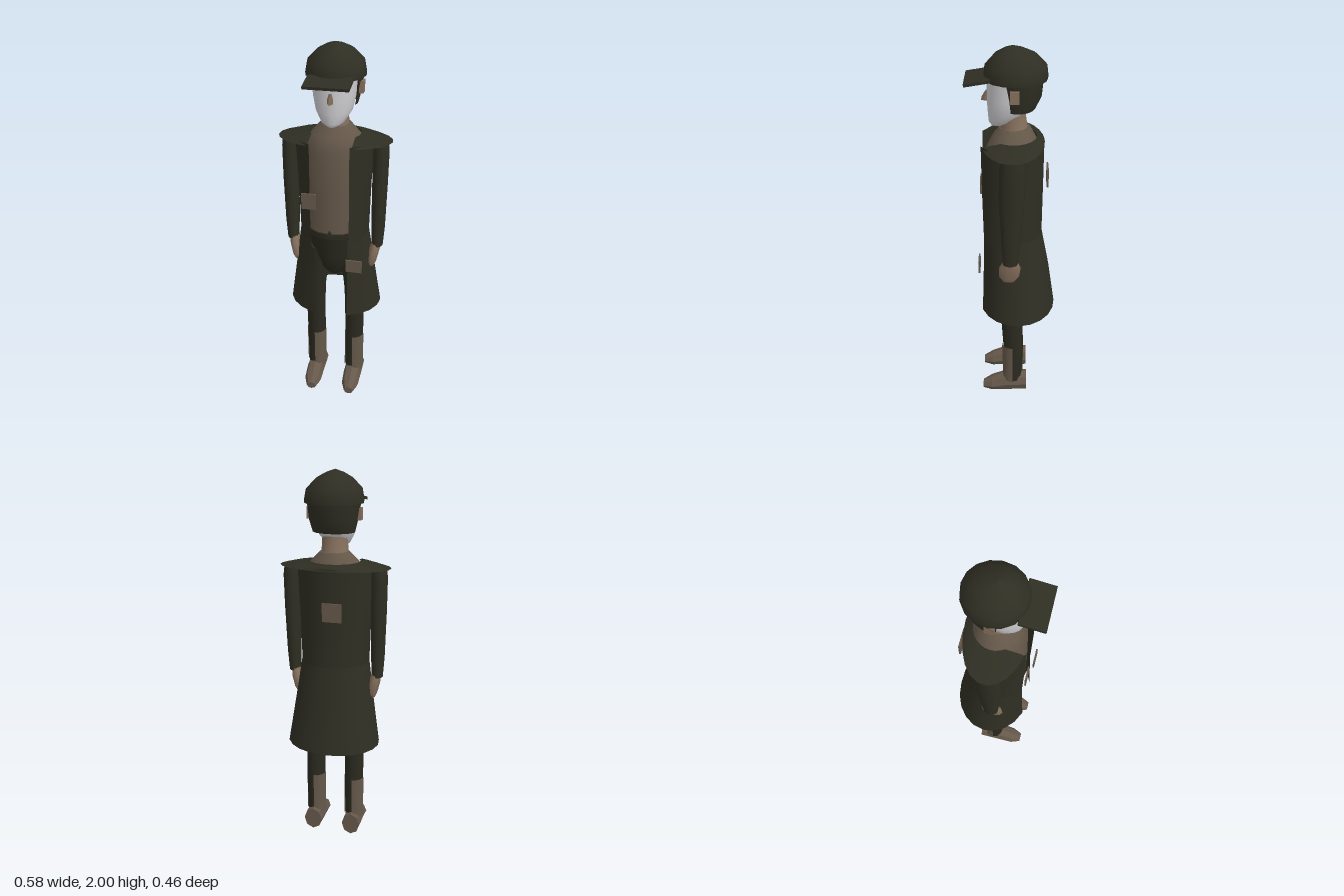
import * as THREE from 'three';

const mat = (name, color, opt = {}) => Object.assign(new THREE.MeshStandardMaterial({ color, ...opt }), { name });

// Skin through elliptical rings [y, cx, cz, rx, rz], listed upwards.
// gap leaves a front opening of that half width; arc = [from, to] limits the sweep (0 = front, PI/2 = +x).
function loft(rings, { n = 14, gap = 0, arc = null, caps = true } = {}) {
  const open = gap > 0 || arc !== null;
  const cols = open ? n + 1 : n;
  const pos = [], idx = [];
  const put = ([y, cx, cz, rx, rz], t) => pos.push(cx + rx * Math.sin(t), y, cz + rz * Math.cos(t));
  const angle = (r, j) => {
    const a = arc ? arc[0] : gap ? Math.asin(Math.min(1, gap / r[3])) : 0;
    const b = arc ? arc[1] : Math.PI * 2 - a;
    return a + (b - a) * j / n;
  };
  for (const r of rings) for (let j = 0; j < cols; j++) put(r, angle(r, j));
  for (let i = 0; i < rings.length - 1; i++) {
    for (let j = 0; j < n; j++) {
      const k = open ? j + 1 : (j + 1) % n;
      const a = i * cols + j, b = i * cols + k, c = b + cols, d = a + cols;
      idx.push(a, b, c, a, c, d);
    }
  }
  if (caps && !open) {
    for (const [r, top] of [[rings[0], false], [rings[rings.length - 1], true]]) {
      const o = pos.length / 3;
      pos.push(r[1], r[0], r[2]);
      for (let j = 0; j < n; j++) put(r, angle(r, j));
      for (let j = 0; j < n; j++) {
        const a = o + 1 + j, b = o + 1 + (j + 1) % n;
        if (top) idx.push(o, a, b); else idx.push(o, b, a);
      }
    }
  }
  const g = new THREE.BufferGeometry();
  g.setAttribute('position', new THREE.Float32BufferAttribute(pos, 3));
  g.setIndex(idx);
  g.computeVertexNormals();
  return g;
}

export function createModel() {
  const group = new THREE.Group();
  const coat = mat('dark olive cloth', 0x2e2e23, { side: THREE.DoubleSide });
  const trousers = mat('dark trousers', 0x2a2a20);
  const tan = mat('brown leather', 0x65584a, { side: THREE.DoubleSide });
  const skin = mat('skin', 0x86705d);
  const mask = mat('pale face', 0xcfcfd2);

  const add = (name, geometry, material) => {
    const m = new THREE.Mesh(geometry, material);
    m.name = name;
    group.add(m);
    return m;
  };
  const box = (name, material, w, h, d, x, y, z) => {
    const m = add(name, new THREE.BoxGeometry(w, h, d), material);
    m.position.set(x, y, z);
    return m;
  };

  // Head
  add('face', loft([
    [1.61, 0, 0.075, 0.025, 0.03], [1.63, 0, 0.06, 0.058, 0.058], [1.68, 0, 0.03, 0.09, 0.092],
    [1.75, 0, 0.02, 0.105, 0.106], [1.85, 0, 0.015, 0.11, 0.11]], { n: 18 }), mask);
  add('hair', loft([
    [1.70, 0, -0.025, 0.107, 0.085], [1.76, 0, -0.03, 0.122, 0.11], [1.86, 0, -0.02, 0.137, 0.13]],
  { n: 16, arc: [1.15, Math.PI * 2 - 1.15] }), coat);
  add('nose', loft([
    [1.735, 0, 0.125, 0.014, 0.028], [1.755, 0, 0.125, 0.014, 0.024], [1.785, 0, 0.12, 0.01, 0.01]], { n: 4 }), skin);
  for (const s of [-1, 1]) box('ear', skin, 0.022, 0.06, 0.045, s * 0.128, 1.79, -0.01);

  // Cap
  add('capDome', loft([
    [1.842, 0, -0.015, 0.148, 0.153], [1.86, 0, -0.015, 0.149, 0.154], [1.91, 0, -0.015, 0.139, 0.148],
    [1.96, 0, -0.012, 0.09, 0.1], [1.985, 0, -0.005, 0.045, 0.05], [2.0, 0, 0, 0.002, 0.002]], { n: 16 }), coat);
  box('capVisor', coat, 0.22, 0.014, 0.125, 0, 1.849, 0.168).rotation.x = 0.16;

  // Neck and shirt
  add('neck', loft([
    [1.54, 0, -0.01, 0.085, 0.08], [1.60, 0, -0.005, 0.068, 0.068], [1.69, 0, 0, 0.064, 0.06]]), skin);
  add('shirt', loft([
    [1.03, 0, 0.005, 0.15, 0.135], [1.25, 0, 0.005, 0.155, 0.14], [1.48, 0, 0, 0.16, 0.14],
    [1.55, 0, -0.005, 0.125, 0.11], [1.60, 0, -0.01, 0.075, 0.078]]), tan);

  // Long open coat
  add('coatBody', loft([
    [1.0, 0, 0.012, 0.18, 0.165], [1.3, 0, 0.012, 0.188, 0.168], [1.535, 0, 0.01, 0.2, 0.168]],
  { n: 18, gap: 0.1 }), coat);
  add('coatSkirt', loft([
    [0.56, 0, -0.025, 0.25, 0.205], [0.8, 0, -0.01, 0.213, 0.185], [1.02, 0, 0.01, 0.181, 0.163]],
  { n: 18, gap: 0.095 }), coat);
  add('shoulderCape', loft([
    [1.522, 0, 0, 0.29, 0.16], [1.535, 0, 0, 0.23, 0.155], [1.552, 0, -0.005, 0.13, 0.115]],
  { n: 20, gap: 0.11 }), coat);

  // Cloth patches
  box('chestPatch', tan, 0.075, 0.085, 0.008, -0.102, 1.235, 0.168);
  box('hipPatch', tan, 0.085, 0.068, 0.009, 0.132, 0.885, 0.174);
  box('backPatch', tan, 0.1, 0.095, 0.009, -0.032, 1.322, -0.179);

  // Hips and belt
  add('hips', loft([
    [0.75, 0, 0, 0.045, 0.05], [0.79, 0, 0, 0.075, 0.085], [0.88, 0, 0, 0.12, 0.115], [1.02, 0, 0.005, 0.152, 0.132]]), trousers);
  add('belt', loft([[1.015, 0, 0.005, 0.157, 0.145], [1.042, 0, 0.005, 0.157, 0.145]]), trousers);
  const point = add('buckle', new THREE.CircleGeometry(0.024, 3, Math.PI / 2), coat);
  point.position.set(0, 1.047, 0.152);

  for (const s of [-1, 1]) {
    // Sleeve and hand
    add('sleeve', loft([
      [0.94, s * 0.228, 0.012, 0.03, 0.038], [1.05, s * 0.23, 0.01, 0.036, 0.046],
      [1.3, s * 0.232, 0.005, 0.04, 0.063], [1.47, s * 0.233, 0, 0.041, 0.064], [1.525, s * 0.23, 0, 0.038, 0.055]], { n: 12 }), coat);
    add('hand', loft([
      [0.82, s * 0.204, 0.02, 0.014, 0.03], [0.85, s * 0.206, 0.018, 0.024, 0.052],
      [0.91, s * 0.215, 0.014, 0.029, 0.056], [0.955, s * 0.222, 0.012, 0.024, 0.036]], { n: 10 }), skin);

    // Leg
    const x = s * 0.11;
    add('leg', loft([
      [0.09, x, 0, 0.048, 0.05], [0.33, x, -0.003, 0.052, 0.056], [0.5, x, 0.005, 0.053, 0.058],
      [0.65, x, 0.01, 0.057, 0.065], [0.92, x * 0.85, 0.005, 0.07, 0.085]], { n: 12 }), trousers);

    // Boot leather on two opposite quarters
    for (const a of [0, Math.PI]) {
      add('bootShaft', loft([[0.09, x, 0, 0.054, 0.056], [0.335, x, 0, 0.055, 0.06]],
        { n: 4, arc: [a, a + Math.PI / 2] }), tan);
    }

    // Shoe, skinned from heel to toe
    const shoe = loft([
      [-0.078, x, -0.067, 0.05, 0.062], [0.035, x, -0.065, 0.051, 0.061],
      [0.12, x, -0.046, 0.047, 0.042], [0.17, x, -0.036, 0.026, 0.022]], { n: 8 }).rotateX(Math.PI / 2).toNonIndexed();
    shoe.computeVertexNormals();
    add('shoe', shoe, tan);
  }
  return group;
}
